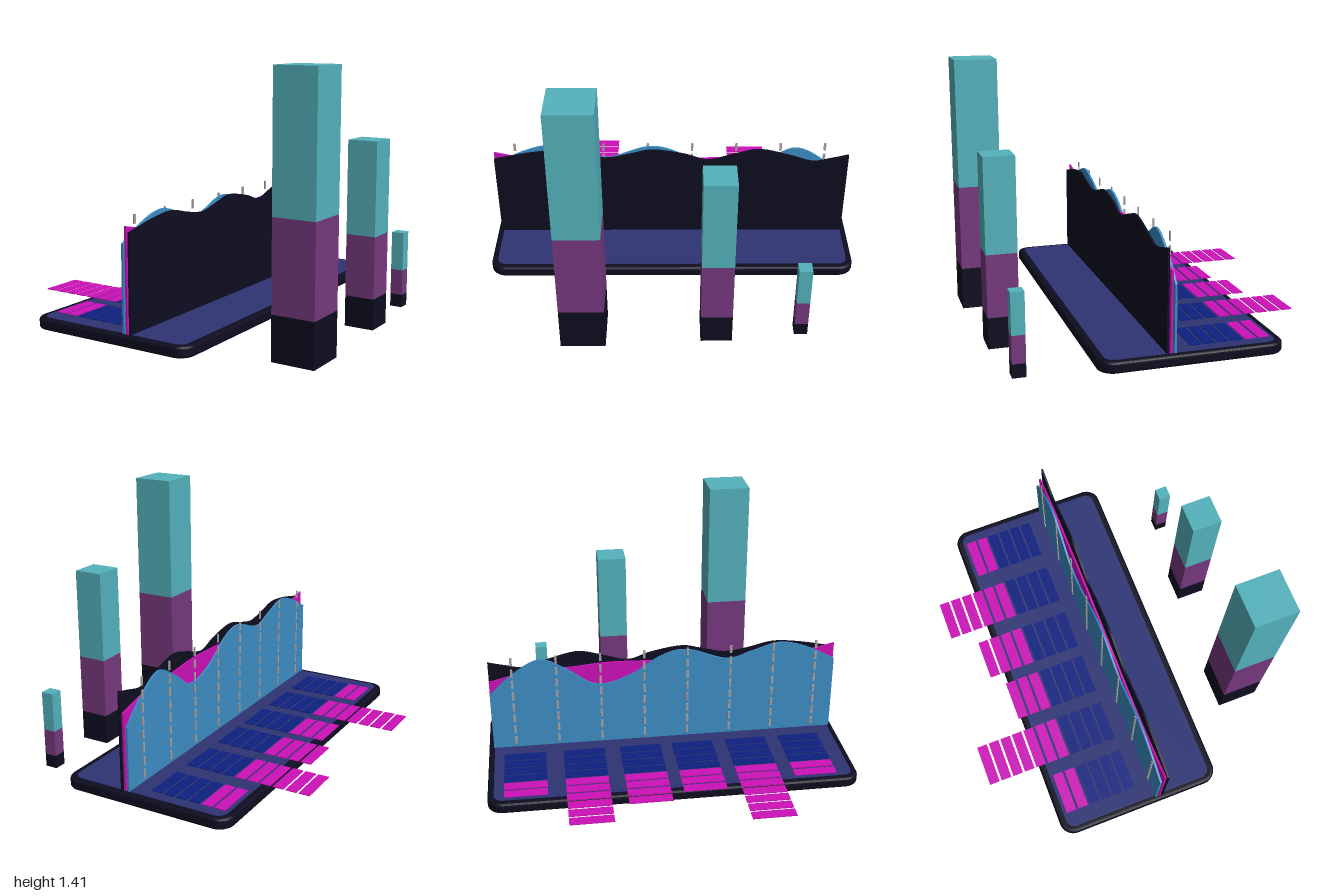
import * as THREE from 'three';

const mat = (name, color) => {
  const m = new THREE.MeshStandardMaterial({ color });
  m.name = name;
  return m;
};

export function createModel() {
  const black = mat('near black', 0x0d0d20);
  const indigo = mat('indigo', 0x2e3474);
  const navy = mat('navy', 0x0d2080);
  const magenta = mat('magenta', 0xcc10b8);
  const blue = mat('sky blue', 0x3c8cc4);
  const teal = mat('teal', 0x54b2bc);
  const purple = mat('purple', 0x76387e);
  const grey = mat('grey', 0xa8a2a2);

  const model = new THREE.Group();
  model.name = 'dataDisplay';
  model.rotation.y = -0.011;

  const add = (parent, name, geometry, material, x = 0, y = 0, z = 0) => {
    const mesh = new THREE.Mesh(geometry, material);
    mesh.name = name;
    mesh.position.set(x, y, z);
    parent.add(mesh);
    return mesh;
  };
  const group = (name) => {
    const g = new THREE.Group();
    g.name = name;
    model.add(g);
    return g;
  };

  // Rounded rectangle centred on the origin
  const roundedRect = (w, l, r) => {
    const s = new THREE.Shape();
    const x = w / 2, y = l / 2;
    s.absarc(x - r, y - r, r, 0, Math.PI / 2);
    s.absarc(-x + r, y - r, r, Math.PI / 2, Math.PI);
    s.absarc(-x + r, -y + r, r, Math.PI, Math.PI * 1.5);
    s.absarc(x - r, -y + r, r, Math.PI * 1.5, Math.PI * 2);
    s.closePath();
    return s;
  };

  // Tablet body with softened rim, and its screen
  const bevel = 0.015;
  const bodyGeo = new THREE.ExtrudeGeometry(roundedRect(0.935 - 2 * bevel, 1.98 - 2 * bevel, 0.065), {
    depth: 0.058 - 2 * bevel, bevelSize: bevel, bevelThickness: bevel, bevelSegments: 4, curveSegments: 10,
  });
  bodyGeo.rotateX(-Math.PI / 2);
  add(model, 'tabletBody', bodyGeo, black, -0.067, 0.085 + bevel, -0.003);
  const screenGeo = new THREE.ExtrudeGeometry(roundedRect(0.862, 1.915, 0.05), {
    depth: 0.004, bevelEnabled: false, curveSegments: 10,
  });
  screenGeo.rotateX(-Math.PI / 2);
  add(model, 'screen', screenGeo, indigo, -0.067, 0.141, -0.003);

  // Upright wave charts, points are [z, height]
  const half = 0.965;
  const waves = [
    ['frontWave', blue, 0.027, [[-half, 0.48], [-0.85, 0.59], [-0.69, 0.68], [-0.55, 0.62], [-0.38, 0.51],
      [-0.2, 0.55], [-0.02, 0.66], [0.13, 0.69], [0.35, 0.62], [0.5, 0.66], [0.65, 0.7], [0.8, 0.665], [half, 0.58]]],
    ['middleWave', magenta, 0.047, [[-half, 0.55], [-0.75, 0.6], [-0.5, 0.615], [-0.3, 0.63], [0, 0.62],
      [0.3, 0.6], [0.6, 0.6], [0.8, 0.63], [half, 0.667]]],
    ['rearWave', black, 0.066, [[-half, 0.66], [-0.87, 0.637], [-0.77, 0.62], [-0.64, 0.66], [-0.48, 0.697],
      [-0.35, 0.67], [-0.2, 0.63], [-0.07, 0.668], [0.1, 0.695], [0.22, 0.67], [0.35, 0.643], [0.48, 0.66],
      [0.62, 0.69], [0.78, 0.675], [half, 0.637]]],
  ];
  for (const [name, material, x, pts] of waves) {
    const shape = new THREE.Shape();
    shape.moveTo(half, 0.144);
    shape.lineTo(-half, 0.144);
    shape.lineTo(...pts[0]);
    shape.splineThru(pts.slice(1).map((p) => new THREE.Vector2(...p)));
    shape.closePath();
    const geo = new THREE.ExtrudeGeometry(shape, { depth: 0.011, bevelEnabled: false, curveSegments: 5 });
    geo.rotateY(-Math.PI / 2);
    add(model, name, geo, material, x + 0.0055);
  }

  // Dashed vertical grid lines before the waves
  const gridLines = group('gridLines');
  const dashGeo = new THREE.BoxGeometry(0.006, 0.047, 0.013);
  for (let i = 0; i < 8; i++) {
    for (let j = 0; j < 8; j++) {
      add(gridLines, 'gridDash', dashGeo, grey, 0.017, 0.68 - j * 0.07, 0.855 - i * 0.242);
    }
  }

  // Rows of flat tiles: four navy, then a varying number of magenta
  const tiles = group('tileRows');
  const tileGeo = new THREE.BoxGeometry(0.058, 0.004, 0.229);
  const rowZ = [-0.792, -0.467, -0.152, 0.144, 0.449, 0.755];
  const extra = [2, 6, 4, 3, 7, 2];
  rowZ.forEach((z, r) => {
    for (let i = 0; i < 4 + extra[r]; i++) {
      add(tiles, 'tile', tileGeo, i < 4 ? navy : magenta, -0.097 - i * 0.0705, 0.149, z);
    }
  });

  // Stacked bar columns, split at one sixth and one half of their height
  for (const [z, size, h] of [[0.457, 0.232, 1.41], [-0.23, 0.163, 1.0], [-0.673, 0.069, 0.43]]) {
    const column = group('stackedColumn');
    for (const [name, material, from, to] of [
      ['columnBase', black, 0, 1 / 6], ['columnMiddle', purple, 1 / 6, 1 / 2], ['columnTop', teal, 1 / 2, 1],
    ]) {
      add(column, name, new THREE.BoxGeometry(size, (to - from) * h, size), material, 0.722, (from + to) * h / 2, z);
    }
  }

  const root = new THREE.Group();
  root.add(model);
  return root;
}
